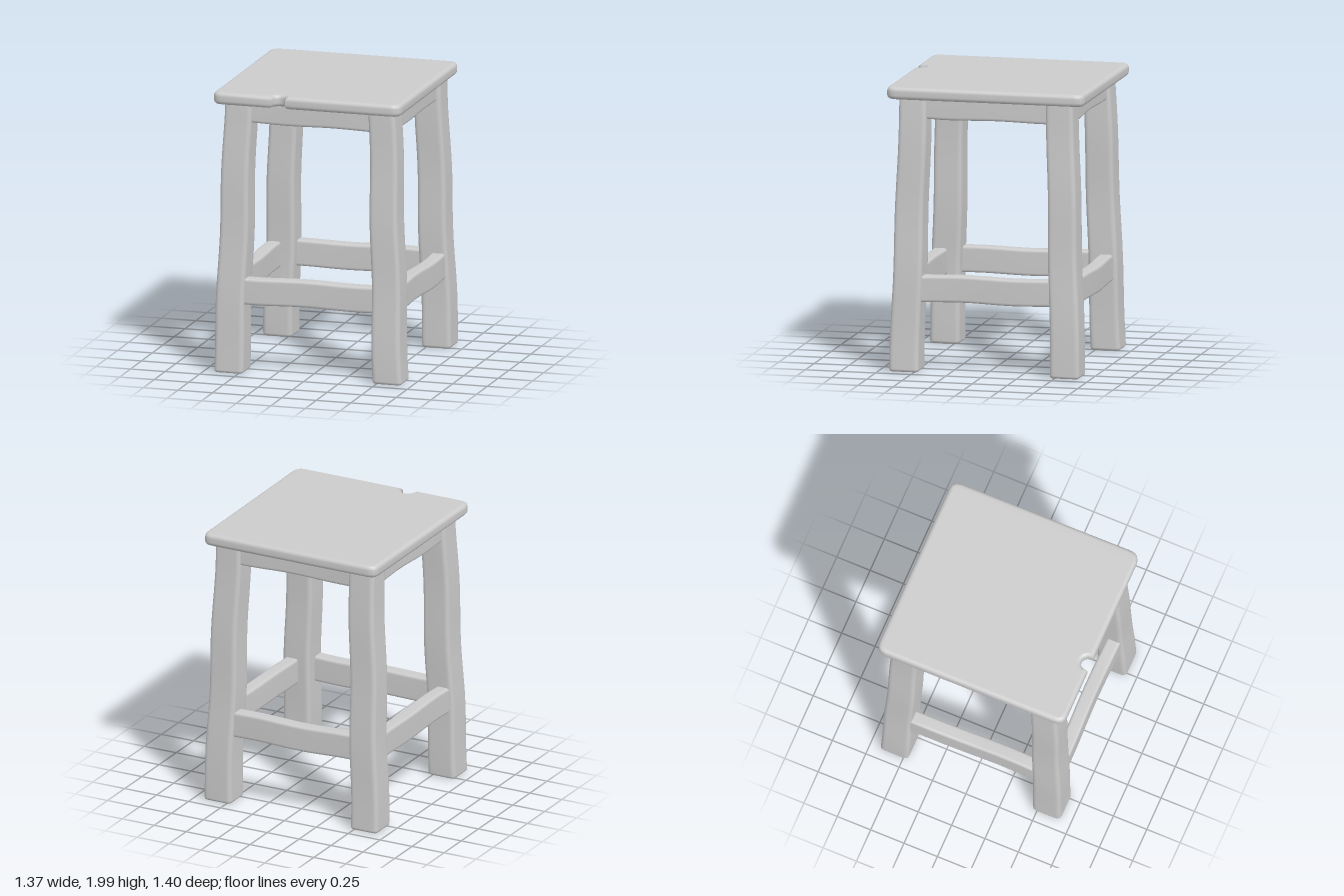
import * as THREE from 'three';
import { mergeVertices } from 'three/addons/utils/BufferGeometryUtils.js';

const material = new THREE.MeshStandardMaterial({ color: 0xcccccc });

// Rounded rectangle outline centred on the origin
function roundedRect(w, h, r) {
  const x = w / 2, y = h / 2;
  const s = new THREE.Shape();
  s.moveTo(-x + r, -y);
  s.lineTo(x - r, -y);
  s.quadraticCurveTo(x, -y, x, -y + r);
  s.lineTo(x, y - r);
  s.quadraticCurveTo(x, y, x - r, y);
  s.lineTo(-x + r, y);
  s.quadraticCurveTo(-x, y, -x, y - r);
  s.lineTo(-x, -y + r);
  s.quadraticCurveTo(-x, -y, -x + r, -y);
  return s;
}

// Softly bevelled extrusion along z, centred, ending exactly at +-length/2
function softExtrude(shape, length, bevel, steps) {
  const g = new THREE.ExtrudeGeometry(shape, {
    depth: length - 2 * bevel, steps, curveSegments: 4,
    bevelEnabled: true, bevelThickness: bevel, bevelSize: bevel,
    bevelOffset: -bevel, bevelSegments: 4,
  });
  return g.translate(0, 0, -length / 2 + bevel);
}

// Move every vertex by a rule, then weld for smooth shading
function warp(geometry, rule) {
  const p = geometry.attributes.position, v = new THREE.Vector3();
  for (let i = 0; i < p.count; i++) {
    rule(v.fromBufferAttribute(p, i));
    p.setXYZ(i, v.x, v.y, v.z);
  }
  geometry.deleteAttribute('normal');
  geometry.deleteAttribute('uv');
  const welded = mergeVertices(geometry, 1e-4);
  welded.computeVertexNormals();
  return welded;
}

function addMesh(parent, name, geometry) {
  const mesh = new THREE.Mesh(geometry, material);
  mesh.name = name;
  parent.add(mesh);
  return mesh;
}

// Square slab with rounded corners and a small bite out of the front edge
function makeSeat() {
  const x0 = -0.685, x1 = 0.68, z0 = -0.705, z1 = 0.7, r = 0.075;
  const s = new THREE.Shape();
  // shape y is -z, so the front edge runs along the bottom
  s.moveTo(x0 + r, -z1);
  s.lineTo(-0.25, -z1);
  s.lineTo(-0.245, -0.665);
  s.quadraticCurveTo(-0.235, -0.635, -0.2, -0.632);
  s.quadraticCurveTo(-0.165, -0.635, -0.155, -0.665);
  s.lineTo(-0.15, -z1);
  s.lineTo(x1 - r, -z1);
  s.quadraticCurveTo(x1, -z1, x1, -z1 + r);
  s.lineTo(x1 - 0.01, -z0 - r);
  s.quadraticCurveTo(x1 - 0.01, -z0, x1 - r, -z0);
  s.lineTo(x0 + r, -z0);
  s.quadraticCurveTo(x0, -z0, x0, -z0 - r);
  s.lineTo(x0 + 0.005, -z1 + r);
  s.quadraticCurveTo(x0 + 0.005, -z1, x0 + r, -z1);
  const g = softExtrude(s, 0.085, 0.028, 1);
  g.rotateX(-Math.PI / 2).translate(0, 1.953, 0);
  return warp(g, () => {});
}

// Splayed, slightly uneven square leg
function makeLeg(sx, sz, seed) {
  const height = 1.93;
  const g = softExtrude(roundedRect(0.21, 0.21, 0.035), height, 0.02, 16);
  g.rotateX(-Math.PI / 2).translate(0, height / 2 + 0.005, 0);
  return warp(g, (v) => {
    const t = v.y / height, taper = 1.01 - 0.08 * t;
    const wave = 0.004 * Math.sin(v.y * 7 + seed);
    v.x = v.x * taper + sx * (0.575 - 0.055 * t) + wave;
    v.z = v.z * taper + sz * (0.573 - 0.053 * t) - wave;
  });
}

// Horizontal bar along x with slightly wavy edges
function makeBar(length, height, thickness, seed) {
  const g = softExtrude(roundedRect(thickness, height, 0.022), length, 0.01, 12);
  g.rotateY(Math.PI / 2);
  return warp(g, (v) => {
    v.y += 0.004 * Math.sin(v.x * 9 + seed);
    v.z += 0.005 * Math.sin(v.x * 6 + seed * 2);
  });
}

export function createModel() {
  const stool = new THREE.Group();
  stool.name = 'stool';
  addMesh(stool, 'seat', makeSeat());

  // Four legs
  for (const [sx, sz, name] of [
    [1, 1, 'frontLeftLeg'], [-1, 1, 'frontRightLeg'],
    [1, -1, 'backLeftLeg'], [-1, -1, 'backRightLeg'],
  ]) addMesh(stool, name, makeLeg(sx, sz, sx + 2 * sz));

  // An apron under the seat and a stretcher low down on each side
  ['front', 'left', 'back', 'right'].forEach((side, i) => {
    const frame = new THREE.Group();
    frame.name = side + 'Frame';
    frame.rotation.y = (i * Math.PI) / 2;
    addMesh(frame, side + 'Apron', makeBar(1.04, 0.16, 0.1, i)).position.set(0, 1.85, 0.545);
    addMesh(frame, side + 'Stretcher', makeBar(1.1, 0.185, 0.1, i + 2)).position.set(0, 0.588, 0.59);
    stool.add(frame);
  });
  return stool;
}
